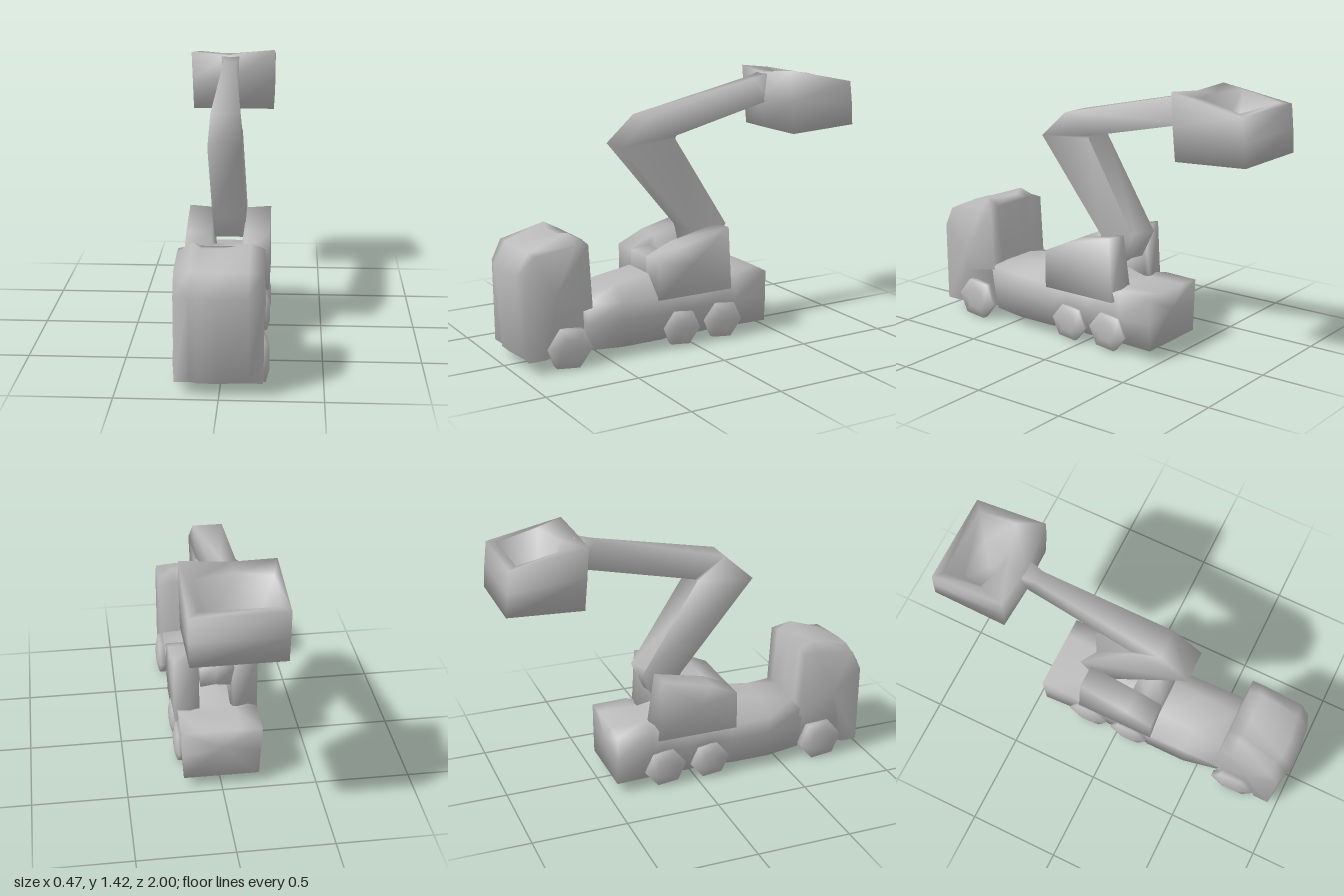
import * as THREE from 'three';

const grey = new THREE.MeshStandardMaterial({ color: 0xbababa });
grey.name = 'grey paint';

// Closed, smoothly shaded skin through rings of [x, y, z] points; both ends are capped by fans.
function loft(name, rings) {
  const n = rings[0].length, pos = [], idx = [];
  rings.forEach(r => r.forEach(p => pos.push(...p)));
  for (let i = 0; i < rings.length - 1; i++) {
    for (let j = 0; j < n; j++) {
      const k = (j + 1) % n, a = i * n + j, b = i * n + k;
      idx.push(a, b, b + n, a, b + n, a + n);
    }
  }
  [0, rings.length - 1].forEach(i => {
    const c = pos.length / 3;
    for (let d = 0; d < 3; d++) pos.push(rings[i].reduce((s, p) => s + p[d], 0) / n);
    for (let j = 0; j < n; j++) {
      const a = i * n + j, b = i * n + (j + 1) % n;
      idx.push(...(i ? [a, b, c] : [b, a, c]));
    }
  });
  // Face outward whichever way the rings were listed
  const v = i => new THREE.Vector3().fromArray(pos, i * 3);
  let volume = 0;
  for (let i = 0; i < idx.length; i += 3) volume += v(idx[i]).dot(v(idx[i + 1]).cross(v(idx[i + 2])));
  if (volume < 0) idx.reverse();
  const geo = new THREE.BufferGeometry();
  geo.setAttribute('position', new THREE.Float32BufferAttribute(pos, 3));
  geo.setIndex(idx);
  geo.computeVertexNormals();
  const mesh = new THREE.Mesh(geo, grey);
  mesh.name = name;
  return mesh;
}

// Side profile of [z, y] points placed at x
const side = (x, profile) => profile.map(([z, y]) => [x, y, z]);

function chassis() {
  // z, half width at the bottom, half width at wheel height, side top, centre top
  const stations = [
    [0.62, 0.16, 0.19, 0.32, 0.33], [0.42, 0.2, 0.2, 0.30, 0.365], [0.2, 0.2, 0.205, 0.29, 0.4],
    [0.08, 0.17, 0.19, 0.29, 0.4], [-0.05, 0.19, 0.2, 0.29, 0.4], [-0.18, 0.17, 0.19, 0.32, 0.36],
    [-0.26, 0.19, 0.2, 0.345, 0.345], [-0.45, 0.2, 0.207, 0.34, 0.345]
  ];
  return loft('chassis', stations.map(([z, w, m, s, t]) => [
    [-w, 0.06, z], [w, 0.06, z], [m, 0.2, z], [0.207, s, z],
    [0.1, t, z], [-0.1, t, z], [-0.215, s, z], [-m, 0.2, z]
  ]));
}

function cab() {
  // The outer profiles are cut away over the front wheels
  const edge = [[0.955, 0.07], [0.96, 0.5], [0.91, 0.605], [0.69, 0.635], [0.62, 0.63], [0.6, 0.3], [0.82, 0.26], [0.87, 0.07]];
  const middle = [[0.965, 0.07], [1.0, 0.5], [0.93, 0.61], [0.7, 0.655], [0.625, 0.645], [0.6, 0.33], [0.6, 0.07], [0.8, 0.07]];
  const ridge = middle.map(([z, y], i) => i === 3 ? [z, 0.685] : [z - (i < 3 ? 0.015 : 0), y]);
  return loft('cab', [
    side(-0.215, edge), side(-0.14, ridge), side(-0.1, middle), side(0, middle), side(0.14, ridge), side(0.21, edge)
  ]);
}

function turret() {
  // Sloping cheeks with an open-backed well between them for the arm
  const cheek = [[0.22, 0.28], [0.22, 0.485], [0.08, 0.55], [-0.2, 0.62], [-0.22, 0.28]];
  const inner = [[0.22, 0.28], [0.22, 0.485], [0.08, 0.55], [-0.2, 0.61], [-0.25, 0.28]];
  const well = [[0.22, 0.28], [0.22, 0.485], [0.12, 0.5], [0.03, 0.4], [-0.22, 0.34]];
  return loft('turret', [
    side(-0.222, cheek), side(-0.09, inner), side(-0.075, well),
    side(0.075, well), side(0.09, inner), side(0.222, cheek)
  ]);
}

function arm() {
  // outer [z, y], inner [z, y], right x, left x, depth of the groove on the inner side
  const stations = [
    [[-0.07, 0.48], [-0.2, 0.46], -0.08, 0.08, 0.1],
    [[-0.05, 0.59], [-0.265, 0.605], -0.09, 0.09, 0.25],
    [[0.355, 1.07], [0.04, 1.09], -0.09, 0.075, 0.5],
    [[0.2, 1.21], [0.03, 1.105], -0.085, 0.07, 0.25],
    [[-0.49, 1.365], [-0.56, 1.23], -0.055, 0.015, 0],
    [[-0.59, 1.39], [-0.6, 1.2], -0.075, 0.035, 0]
  ];
  return loft('boomArm', stations.map(([o, i, r, l, d]) => {
    const groove = [(r + l) / 2, i[1] + (o[1] - i[1]) * d, i[0] + (o[0] - i[0]) * d];
    return [[r, o[1], o[0]], [l, o[1], o[0]], [l, i[1], i[0]], groove, [r, i[1], i[0]]];
  }));
}

function bucket() {
  // Pointed at the front, dipping in the middle; the height drops from front yf to back yb
  const ring = (r, l, f, point, b, yf, yb, dip) =>
    [[r, yf - dip / 2, f], [-0.03, yf - dip, point], [l, yf, f], [l, yb, b], [r, yb, b]];
  return loft('bucket', [
    ring(-0.23, 0.225, -0.605, -0.6, -1.0, 1.08, 1.1, 0),
    ring(-0.235, 0.228, -0.59, -0.545, -0.99, 1.25, 1.22, 0),
    ring(-0.24, 0.228, -0.58, -0.56, -0.975, 1.42, 1.34, 0.03),
    ring(-0.2, 0.175, -0.72, -0.66, -0.93, 1.395, 1.345, 0.01),
    ring(-0.13, 0.1, -0.74, -0.7, -0.88, 1.2, 1.19, 0)
  ]);
}

// Six-sided wheel, tapered inward, with a crowned hub
function wheel(name, s, z, y, rz, ry, outer) {
  const disc = (x, k) => Array.from({ length: 6 }, (_, i) => {
    const a = i * Math.PI / 3 + 0.12;
    return [s * x, y + Math.sin(a) * ry * k, z + Math.cos(a) * rz * k];
  });
  return loft(name, [disc(0.155, 0.55), disc(0.185, 1), disc(outer - 0.015, 1), disc(outer, 0.5)]);
}

export function createModel() {
  const model = new THREE.Group();
  model.name = 'bucketTruck';
  model.add(chassis(), cab(), turret(), arm(), bucket());
  for (const [s, label] of [[1, 'left'], [-1, 'right']]) {
    model.add(
      wheel(label + 'FrontWheel', s, 0.73, 0.108, 0.125, 0.115, 0.235),
      wheel(label + 'MiddleWheel', s, 0.075, 0.105, 0.11, 0.1, 0.225),
      wheel(label + 'RearWheel', s, -0.18, 0.108, 0.115, 0.105, 0.225)
    );
  }
  return model;
}
